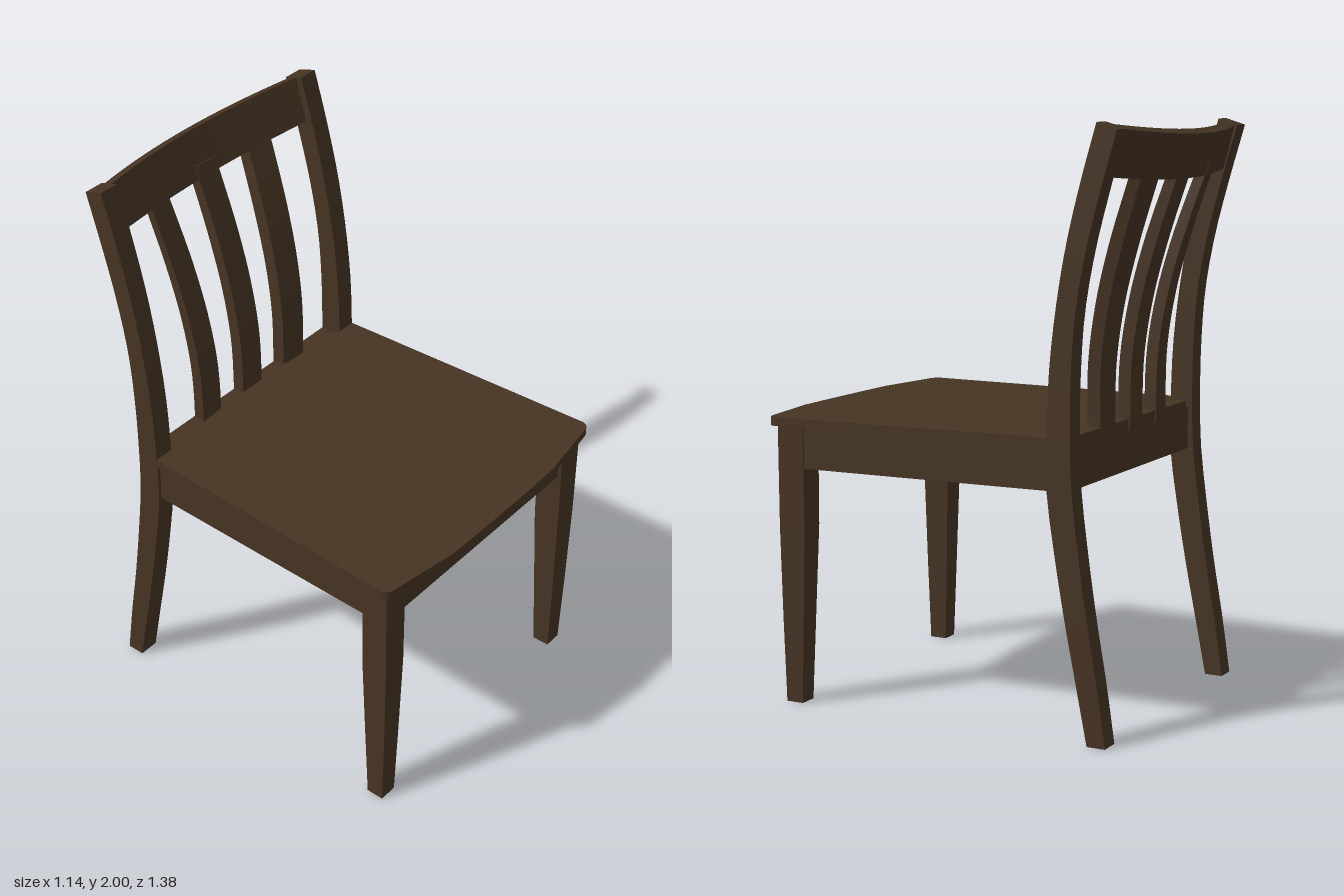
import * as THREE from 'three';
import { toCreasedNormals } from 'three/addons/utils/BufferGeometryUtils.js';

// Solid skin through a run of rings, each a loop of [x, y, z] corners
function loft(rings) {
  const pos = [];
  const tri = (a, b, c) => pos.push(...a, ...b, ...c);
  const n = rings[0].length;
  for (let r = 0; r < rings.length - 1; r++) {
    const a = rings[r], b = rings[r + 1];
    for (let i = 0; i < n; i++) {
      const j = (i + 1) % n;
      tri(a[i], a[j], b[j]);
      tri(a[i], b[j], b[i]);
    }
  }
  const s = rings[0], e = rings[rings.length - 1];
  for (let i = 1; i < n - 1; i++) {
    tri(s[0], s[i + 1], s[i]);
    tri(e[0], e[i], e[i + 1]);
  }
  const g = new THREE.BufferGeometry();
  g.setAttribute('position', new THREE.Float32BufferAttribute(pos, 3));
  return toCreasedNormals(g, 0.5);
}

// Smooth interpolation of a list of [y, a, b] stations
function smooth(stations, steps) {
  return new THREE.CatmullRomCurve3(stations.map(p => new THREE.Vector3(...p)), false, 'centripetal').getPoints(steps);
}

export function createModel() {
  const chair = new THREE.Group();
  chair.name = 'chair';
  const wood = new THREE.MeshStandardMaterial({ color: 0x463423 });
  wood.name = 'dark wood';
  const add = (name, geometry) => {
    const m = new THREE.Mesh(geometry, wood);
    m.name = name;
    chair.add(m);
    return m;
  };

  // Plan outline (x, -z) raised between two heights
  const slab = (shape, y0, y1) => {
    const g = new THREE.ExtrudeGeometry(shape, { depth: y1 - y0, bevelEnabled: false, curveSegments: 10 });
    g.rotateX(-Math.PI / 2).translate(0, y0, 0);
    return toCreasedNormals(g, 0.5);
  };
  const plan = pts => new THREE.Shape(pts.map(([x, z]) => new THREE.Vector2(x, -z)));

  // Seat board: bowed front, rounded corners, notched around the posts
  const seat = new THREE.Shape();
  seat.moveTo(-0.44, 0.465);
  seat.lineTo(-0.44, 0.41);
  seat.lineTo(-0.533, 0.40);
  seat.lineTo(-0.572, -0.61);
  seat.quadraticCurveTo(-0.572, -0.64, -0.54, -0.646);
  seat.lineTo(-0.28, -0.685);
  seat.quadraticCurveTo(0, -0.692, 0.28, -0.685);
  seat.lineTo(0.54, -0.646);
  seat.quadraticCurveTo(0.572, -0.64, 0.572, -0.61);
  seat.lineTo(0.533, 0.40);
  seat.lineTo(0.44, 0.41);
  seat.lineTo(0.44, 0.465);
  add('seat', slab(seat, 0.97, 1.0));

  // Aprons under the seat
  add('frontApron', slab(plan([[-0.47, 0.555], [0.47, 0.555], [0.47, 0.605], [-0.47, 0.605]]), 0.825, 0.97));
  add('backApron', slab(plan([[-0.47, -0.465], [0.47, -0.465], [0.47, -0.415], [-0.47, -0.415]]), 0.825, 0.975));

  // Back posts: [y, front z, back z]
  const postLine = smooth([
    [0, -0.545, -0.61], [0.2, -0.505, -0.58], [0.4, -0.465, -0.545], [0.6, -0.43, -0.515],
    [0.83, -0.398, -0.487], [1, -0.398, -0.481], [1.2, -0.405, -0.483], [1.4, -0.427, -0.497],
    [1.6, -0.462, -0.532], [1.8, -0.512, -0.583], [1.99, -0.568, -0.638]], 28);

  for (const s of [1, -1]) {
    const side = s > 0 ? 'left' : 'right';
    const span = (a, b) => (s > 0 ? [a, b] : [-b, -a]);

    // Tapered front leg: [y, inner x, outer x, front z, back z]
    add(side + 'FrontLeg', loft([
      [0, 0.468, 0.535, 0.606, 0.542], [0.3, 0.46, 0.539, 0.614, 0.531],
      [0.62, 0.45, 0.543, 0.62, 0.52], [0.97, 0.448, 0.546, 0.62, 0.52],
    ].map(([y, a, b, zf, zb]) => {
      const [x0, x1] = span(a, b);
      return [[x0, y, zf], [x1, y, zf], [x1, y, zb], [x0, y, zb]];
    })));

    // Back leg and post in one sweep, with the top cut square to the lean
    const [x0, x1] = span(0.459, 0.532);
    add(side + 'BackPost', loft(postLine.map(({ x: y, y: zf, z: zb }) => {
      const t = THREE.MathUtils.smoothstep(y, 1.2, 1.99);
      const yf = y + 0.01 * t, yb = y - 0.012 * t;
      return [[x0, yf, zf], [x1, yf, zf], [x1, yb, zb], [x0, yb, zb]];
    })));

    // Side apron follows the seat taper
    const rail = [[0.49, 0.54], [0.465, -0.43], [0.52, -0.43], [0.54, 0.54]].map(([x, z]) => [s * x, z]);
    add(side + 'Apron', slab(plan(rail), 0.825, 0.97));
  }

  // Back slats: the outer pair splay and turn with the rail
  const slatLine = smooth([
    [0.96, -0.425, -0.47], [1.2, -0.43, -0.475], [1.4, -0.461, -0.506],
    [1.6, -0.515, -0.56], [1.86, -0.608, -0.648]], 18);
  for (const [name, s] of [['leftSlat', 1], ['centreSlat', 0], ['rightSlat', -1]]) {
    add(name, loft(slatLine.map(({ x: y, y: zf, z: zb }) => {
      const t = THREE.MathUtils.clamp((y - 1.05) / 0.78, 0, 1);
      const cx = s * (0.22 + 0.032 * t * (0.5 + 0.5 * t));
      const turn = s * (0.08 + 0.1 * t);
      const shift = Math.abs(s) * (0.005 + 0.007 * t);
      const at = (dx, z) => [cx + dx + turn * (z - zf), y, z + shift + turn * dx];
      return [at(-0.05, zf), at(0.05, zf), at(0.05, zb), at(-0.05, zb)];
    })));
  }

  // Curved, leaning top rail
  const rings = [];
  for (let i = 0; i <= 24; i++) {
    const x = -0.475 + 0.95 * i / 24;
    const k = (x / 0.475) ** 2;
    rings.push([
      [x, 1.808 + 0.02 * k, -0.635 + 0.05 * k], [x, 1.957 + 0.022 * k, -0.69 + 0.066 * k],
      [x, 1.972 + 0.022 * k, -0.653 + 0.066 * k], [x, 1.815 + 0.02 * k, -0.595 + 0.05 * k],
    ]);
  }
  add('topRail', loft(rings));

  return chair;
}
